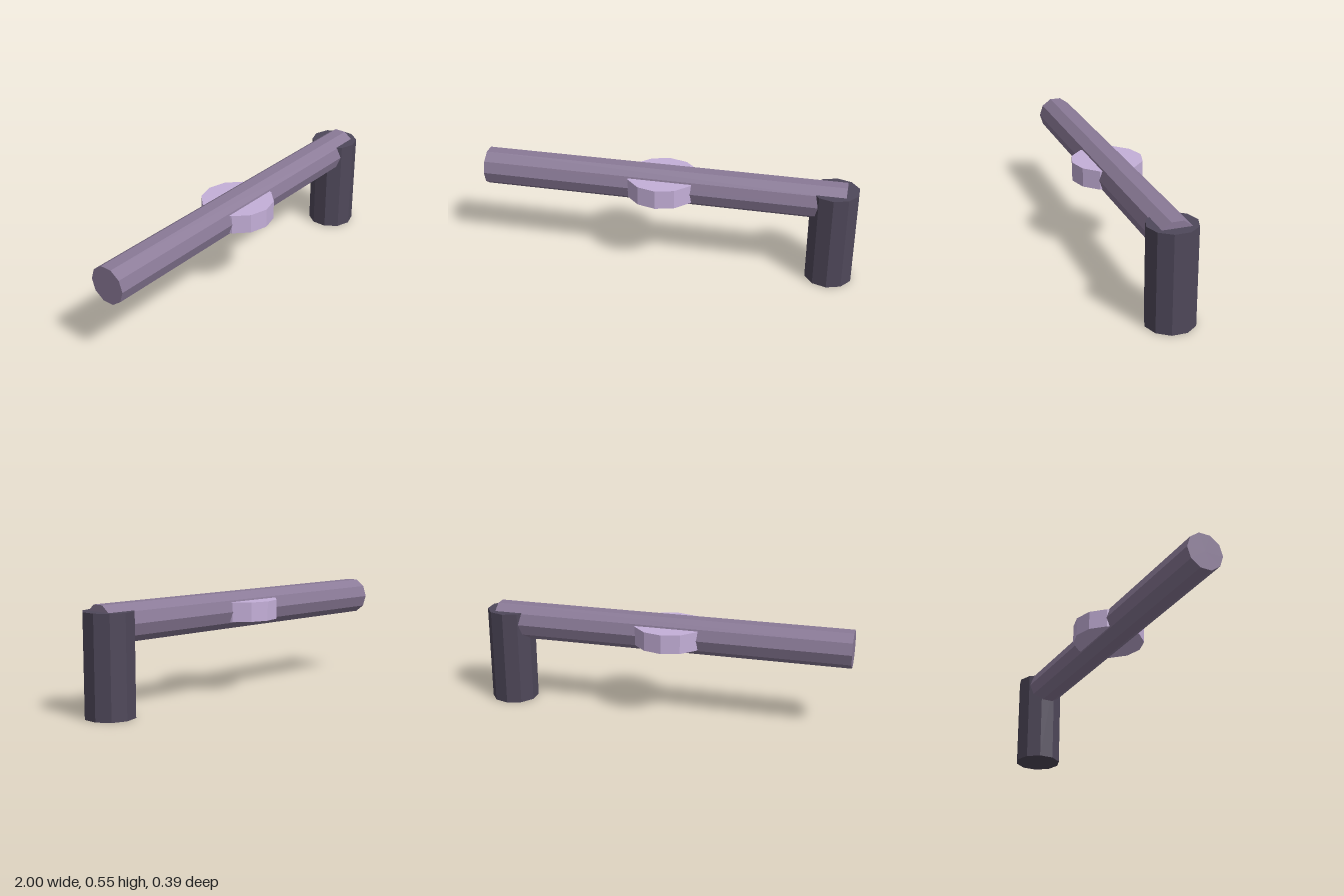
import * as THREE from 'three';

function material(name, color) {
  const m = new THREE.MeshStandardMaterial({ color, flatShading: true });
  m.name = name;
  return m;
}

export function createModel() {
  const group = new THREE.Group();
  group.name = 'crankHandle';

  const mauve = material('mauve', 0x8a7a97);
  const darkPlum = material('darkPlum', 0x4f485a);
  const lilac = material('lilac', 0xc4afd8);

  // Faceted cylinder with its corners on the z axis
  function prism(name, radius, length, sides, mat, x, y) {
    const mesh = new THREE.Mesh(new THREE.CylinderGeometry(radius, radius, length, sides), mat);
    mesh.name = name;
    mesh.position.set(x, y, 0);
    group.add(mesh);
    return mesh;
  }

  // Long horizontal bar, flat side up
  prism('bar', 0.1, 1.938, 10, mauve, -0.031, 0.455).rotation.z = Math.PI / 2;

  // Upright grip, its top swallowed by the end of the bar
  prism('grip', 0.128, 0.517, 10, darkPlum, 0.877, 0.2585);

  // Pivot disc passing through the middle of the bar
  prism('pivotDisc', 0.193, 0.102, 12, lilac, -0.031, 0.454);

  return group;
}
